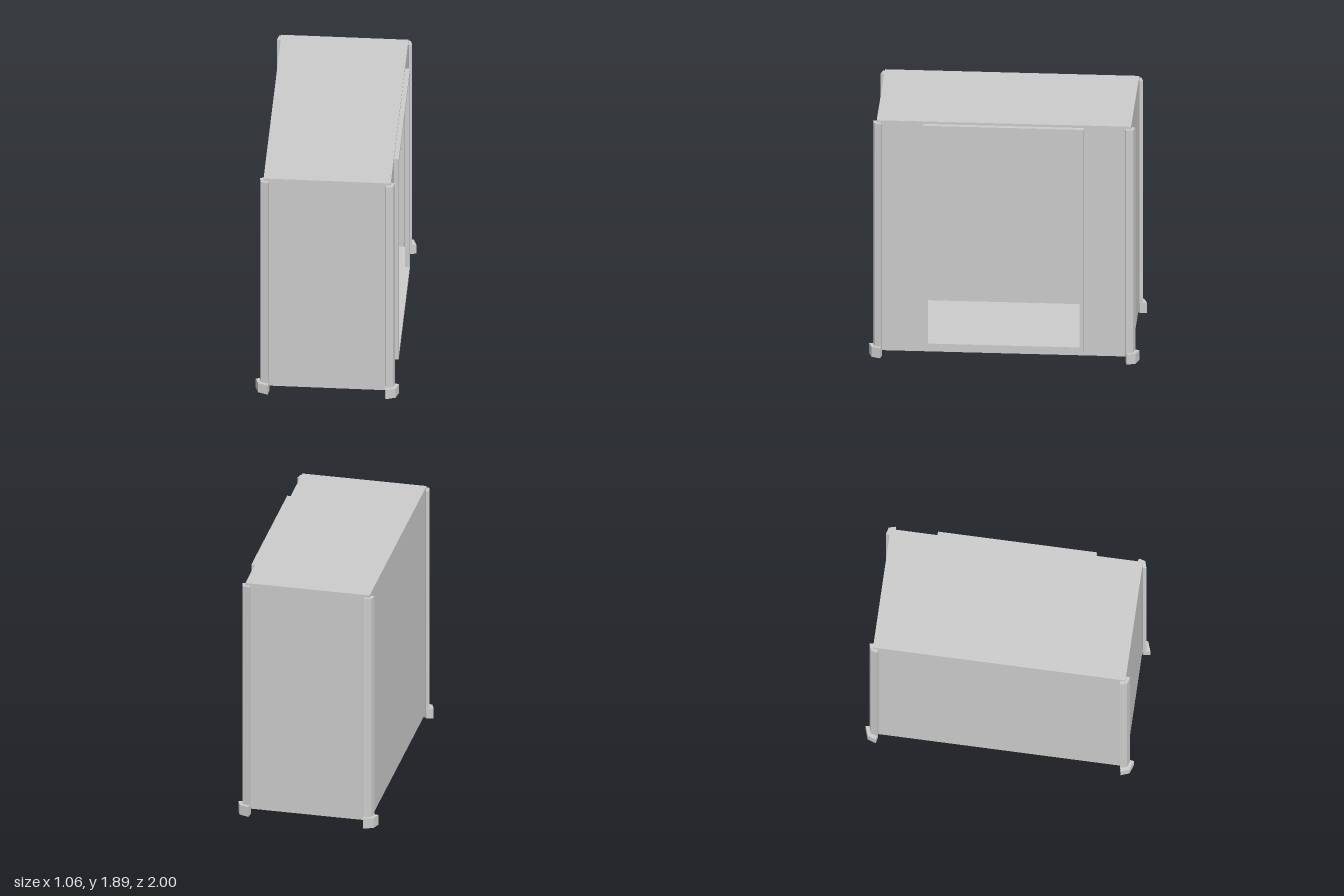
import * as THREE from 'three';

const W = 0.47, D = 0.94, Y0 = 0.04, Y1 = 1.89;

// Corner cross-sections (x, z) for the +x +z corner
const POST = [[0.435, 0.97], [0.487, 0.955], [0.5, 0.905], [0.475, 0.9], [0.455, 0.925], [0.43, 0.945]];
const FOOT = [[0.435, 1.0], [0.507, 0.975], [0.53, 0.912], [0.48, 0.9], [0.453, 0.922], [0.427, 0.948]];

function rect(Ctor, halfW, y0, y1) {
  const r = new Ctor();
  r.moveTo(-halfW, y0).lineTo(halfW, y0).lineTo(halfW, y1).lineTo(-halfW, y1).closePath();
  return r;
}

// Vertical prism over a cross-section mirrored into one corner
function prism(points, sx, sz, y0, y1) {
  const shape = new THREE.Shape(points.map(([x, z]) => new THREE.Vector2(x * sx, z * sz)));
  const geo = new THREE.ExtrudeGeometry(shape, { depth: y1 - y0, bevelEnabled: false });
  return geo.rotateX(Math.PI / 2).translate(0, y1, 0);
}

export function createModel() {
  const group = new THREE.Group();
  const solid = new THREE.MeshStandardMaterial({ color: 0xcccccc, flatShading: true });
  const sheet = new THREE.MeshStandardMaterial({ color: 0xcccccc, flatShading: true, side: THREE.DoubleSide });
  const add = (name, geo, mat = solid) => {
    const mesh = new THREE.Mesh(geo, mat);
    mesh.name = name;
    group.add(mesh);
  };

  // Thin shell of the cabin
  const H = Y1 - Y0, midY = (Y0 + Y1) / 2;
  add('frontWall', new THREE.PlaneGeometry(2 * W, H).translate(0, midY, D), sheet);
  add('backWall', new THREE.PlaneGeometry(2 * W, H).rotateY(Math.PI).translate(0, midY, -D), sheet);
  add('rightWall', new THREE.PlaneGeometry(2 * D, H).rotateY(-Math.PI / 2).translate(-W, midY, 0), sheet);
  add('roof', new THREE.PlaneGeometry(2 * W, 2 * D).rotateX(-Math.PI / 2).translate(0, Y1, 0), sheet);
  add('floor', new THREE.PlaneGeometry(2 * W, 2 * D).rotateX(Math.PI / 2).translate(0, Y0, 0), sheet);

  // Wall with the doorway
  const wall = rect(THREE.Shape, D, Y0, Y1);
  wall.holes.push(rect(THREE.Path, 0.56, 0.118, 1.838));
  add('doorWall', new THREE.ShapeGeometry(wall).rotateY(Math.PI / 2).translate(W, 0, 0), sheet);

  // Raised frame around the doorway
  const frame = rect(THREE.Shape, 0.592, 0.08, 1.87);
  frame.holes.push(rect(THREE.Path, 0.56, 0.118, 1.838));
  add('doorFrame', new THREE.ExtrudeGeometry(frame, { depth: 0.035, bevelEnabled: false })
    .rotateY(Math.PI / 2).translate(W, 0, 0));

  // Corner posts standing in angled feet
  for (const sx of [-1, 1]) for (const sz of [-1, 1]) {
    const corner = (sz > 0 ? 'front' : 'back') + (sx > 0 ? 'Left' : 'Right');
    add(corner + 'Post', prism(POST, sx, sz, 0.05, 1.87));
    add(corner + 'Foot', prism(FOOT, sx, sz, 0, 0.08));
  }
  return group;
}
